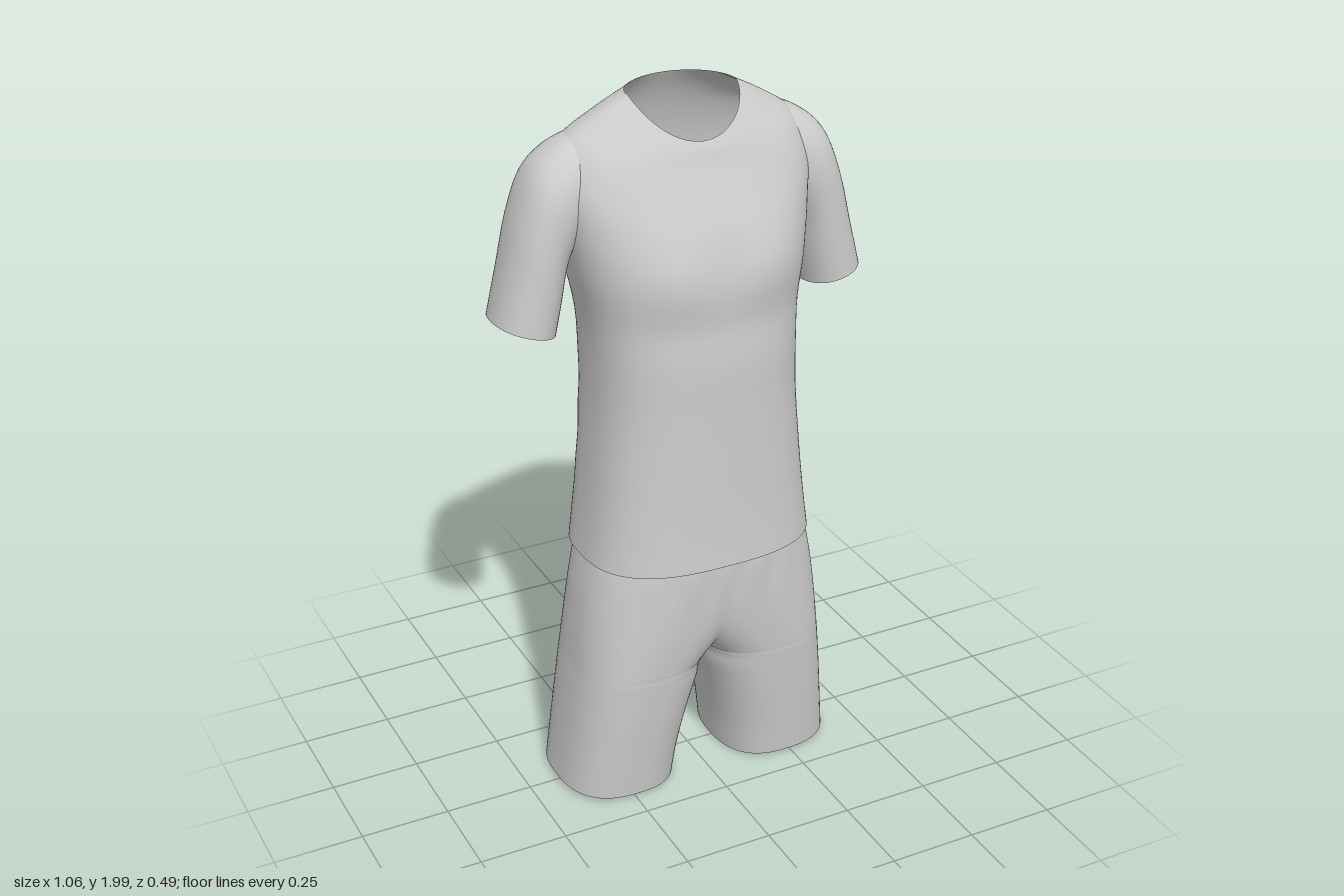
import * as THREE from 'three';
import { mergeGeometries, mergeVertices } from 'three/addons/utils/BufferGeometryUtils.js';

const spow = (v, p) => Math.sign(v) * Math.pow(Math.abs(v), p);
const bump = (v, width) => Math.exp(-((v / width) ** 2));

// Smooth (Catmull-Rom) blend of the key rows at position k
function sampleRows(rows, k) {
  const i = Math.min(Math.floor(k), rows.length - 2), t = k - i;
  const at = (n) => rows[Math.max(0, Math.min(rows.length - 1, n))];
  const [a, b, c, d] = [at(i - 1), at(i), at(i + 1), at(i + 2)];
  return b.map((_, n) => 0.5 * (2 * b[n] + (c[n] - a[n]) * t
    + (2 * a[n] - 5 * b[n] + 4 * c[n] - d[n]) * t * t
    + (3 * b[n] - a[n] - 3 * c[n] + d[n]) * t * t * t));
}

// Skin a stack of rings, bottom to top; point(row, u) with u from -1 to 1
function loft(rows, point, around, steps = 6) {
  const pos = [], index = [], levels = (rows.length - 1) * steps, w = around + 1;
  for (let i = 0; i <= levels; i++) {
    const row = sampleRows(rows, i / steps);
    for (let j = 0; j <= around; j++) pos.push(...point(row, (2 * j) / around - 1));
  }
  for (let i = 0; i < levels; i++) {
    for (let j = 0; j < around; j++) {
      const a = i * w + j, b = a + w;
      index.push(a, b, a + 1, b, b + 1, a + 1);
    }
  }
  const g = new THREE.BufferGeometry();
  g.setAttribute('position', new THREE.Float32BufferAttribute(pos, 3));
  g.setIndex(index);
  return g;
}

function mirrored(geometry) {
  const g = geometry.clone().scale(-1, 1, 1), id = g.index.array;
  for (let i = 0; i < id.length; i += 3) [id[i], id[i + 1]] = [id[i + 1], id[i]];
  return g;
}

function smooth(geometry) {
  const g = mergeVertices(geometry, 1e-4);
  g.computeVertexNormals();
  return g;
}

// Shirt body: half width, front z, back z, z of widest point,
// y at side, y at front, y at back, roundness
const TORSO = [
  [0.330, 0.250, -0.222, 0.00, 0.735, 0.735, 0.735, 0.74],
  [0.315, 0.244, -0.222, 0.00, 0.85, 0.85, 0.85, 0.74],
  [0.300, 0.240, -0.222, 0.00, 1.00, 1.00, 1.00, 0.76],
  [0.286, 0.236, -0.236, 0.00, 1.20, 1.20, 1.20, 0.78],
  [0.290, 0.235, -0.232, -0.01, 1.40, 1.40, 1.40, 0.78],
  [0.318, 0.226, -0.232, -0.03, 1.55, 1.55, 1.55, 0.80],
  [0.345, 0.196, -0.236, -0.05, 1.68, 1.67, 1.68, 0.84],
  [0.360, 0.155, -0.222, -0.06, 1.79, 1.76, 1.79, 0.88],
  [0.325, 0.125, -0.200, -0.06, 1.885, 1.825, 1.875, 0.92],
  [0.240, 0.110, -0.175, -0.05, 1.945, 1.865, 1.94, 0.96],
  [0.152, 0.098, -0.143, -0.03, 1.993, 1.888, 1.998, 1.00],
];

function torsoPoint([w, zf, zb, zc, ys, yf, yb, p], u) {
  const c = Math.cos(u * Math.PI), s = Math.sin(u * Math.PI), front = s > 0;
  const x = w * spow(c, p);
  const y = ys + ((front ? yf : yb) - ys) * Math.pow(Math.abs(s), 1.4);
  let z = zc + (front ? zf - zc : zc - zb) * spow(s, p);
  const ax = Math.abs(x);
  if (front) {
    // chest
    z += s * 0.012 * bump(ax - 0.15, 0.1) * bump(y - 1.58, 0.09);
    z -= s * 0.008 * bump(y - 1.42, 0.07);
  } else {
    // hanging folds and spine hollow on the back
    z += s * 0.008 * Math.sin(34 * (y - 2.2 * x * x)) * bump(y - 1.12, 0.2);
    z -= s * 0.014 * bump(x, 0.07) * bump(y - 1.5, 0.25);
    z += s * 0.007 * Math.cos(55 * (ax - 0.12 * y)) * bump(ax - 0.17, 0.08) * bump(y - 1.45, 0.15);
  }
  return [x, y, z];
}

// Sleeve: inner x, inner y, outer x, outer y, centre z, half depth
const SLEEVE = [
  [0.367, 1.392, 0.532, 1.438, -0.058, 0.112],
  [0.349, 1.480, 0.496, 1.580, -0.060, 0.115],
  [0.334, 1.560, 0.463, 1.710, -0.062, 0.118],
  [0.315, 1.610, 0.415, 1.825, -0.064, 0.120],
  [0.290, 1.640, 0.345, 1.885, -0.066, 0.116],
  [0.250, 1.670, 0.265, 1.915, -0.066, 0.100],
];

function sleevePoint([xi, yi, xo, yo, zc, d], u) {
  const c = spow(Math.cos(u * Math.PI), 0.92), s = spow(Math.sin(u * Math.PI), 0.92);
  return [(xi + xo + (xo - xi) * c) / 2, (yi + yo + (yo - yi) * c) / 2, zc + d * s];
}

// Shorts half: y, inner x (below zero where the halves join), outer x, front z, back z
const SHORTS = [
  [0.012, 0.080, 0.414, 0.172, -0.202],
  [0.12, 0.066, 0.402, 0.184, -0.200],
  [0.24, 0.040, 0.389, 0.198, -0.198],
  [0.34, 0.012, 0.378, 0.208, -0.196],
  [0.395, 0.000, 0.371, 0.213, -0.195],
  [0.45, -0.050, 0.366, 0.218, -0.195],
  [0.53, -0.140, 0.358, 0.225, -0.196],
  [0.63, -0.250, 0.345, 0.232, -0.200],
  [0.735, -0.318, 0.324, 0.236, -0.206],
  [0.79, -0.305, 0.305, 0.226, -0.200],
];

function shortsPoint([y, xi, xo, zf, zb], u) {
  const p = 0.78, cx = Math.max(0, (xi + xo) / 2), rx = xo - cx;
  // above the crotch the ring stops at the centre line
  const limit = cx < rx ? Math.acos(-Math.pow(cx / rx, 1 / p)) : Math.PI;
  const c = Math.cos(u * limit), s = Math.sin(u * limit);
  const x = Math.max(0, cx + rx * spow(c, p));
  let z = (zf + zb) / 2 + ((zf - zb) / 2) * spow(s, p);
  // gathers under the waistband
  if (s > 0) z += 0.005 * s * Math.cos(62 * x) * bump(y - 0.69, 0.07) * bump(x, 0.2);
  return [x, y + 0.006 * c * bump(y, 0.1), z];
}

export function createModel() {
  const model = new THREE.Group();
  model.name = 'sportsKit';
  const fabric = new THREE.MeshStandardMaterial({ color: 0xcccccc, side: THREE.DoubleSide });
  fabric.name = 'light grey fabric';
  const add = (name, geometry, parent) => {
    const mesh = new THREE.Mesh(smooth(geometry), fabric);
    mesh.name = name;
    parent.add(mesh);
  };

  const shirt = new THREE.Group();
  shirt.name = 'shirt';
  add('shirtBody', loft(TORSO, torsoPoint, 96), shirt);
  const sleeve = loft(SLEEVE, sleevePoint, 48);
  add('leftSleeve', sleeve, shirt);
  add('rightSleeve', mirrored(sleeve), shirt);
  model.add(shirt);

  const half = loft(SHORTS, shortsPoint, 64);
  add('shorts', mergeGeometries([half, mirrored(half)]), model);
  return model;
}
